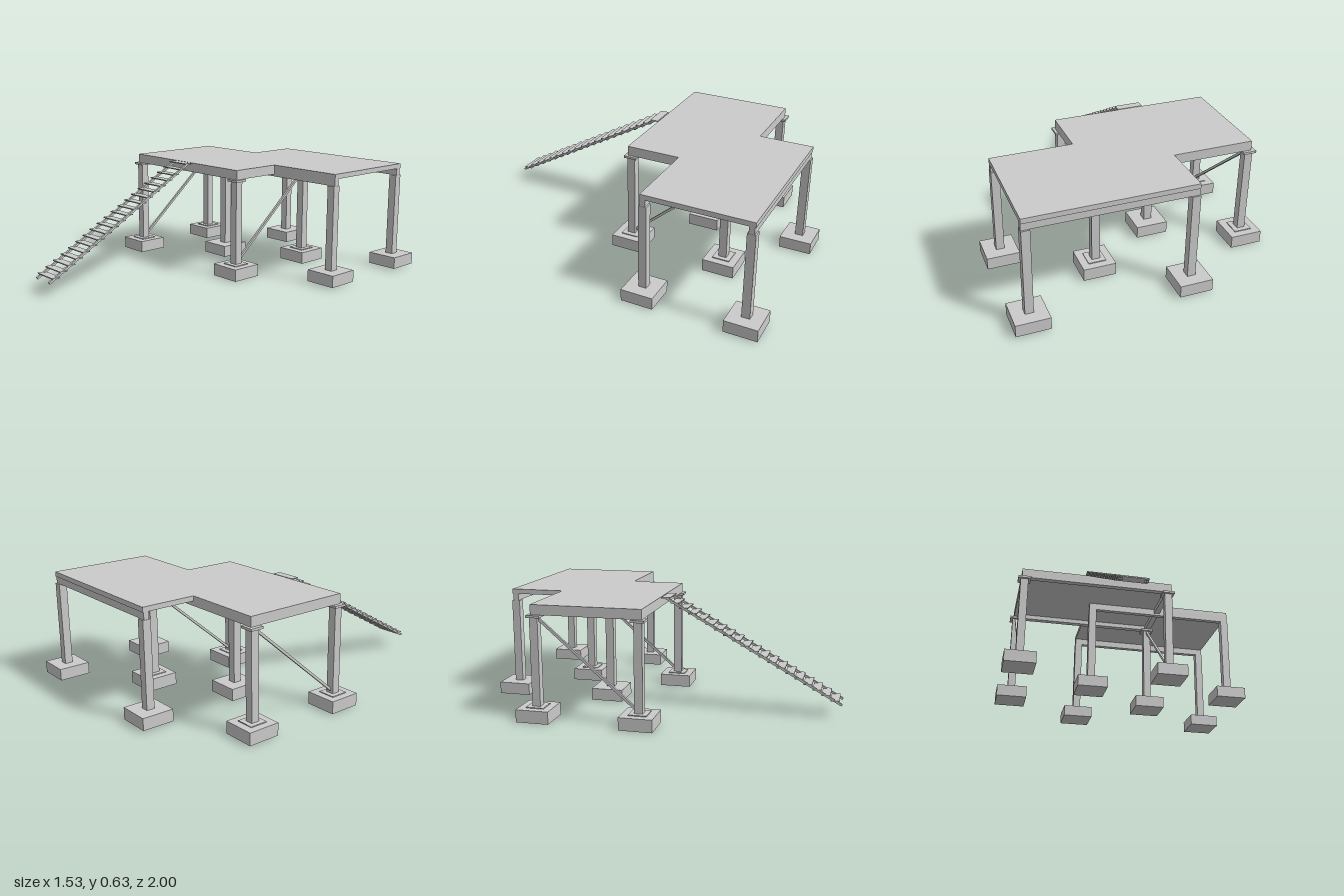
import * as THREE from 'three';

const material = new THREE.MeshStandardMaterial({ color: 0xcccccc, flatShading: true });

export function createModel() {
  const model = new THREE.Group();
  model.name = 'raisedPlatform';

  const add = (name, geometry) => {
    const mesh = new THREE.Mesh(geometry, material);
    mesh.name = name;
    model.add(mesh);
    return mesh;
  };
  // Box given by its extents on each axis
  const box = (name, x0, x1, y0, y1, z0, z1) => {
    const mesh = add(name, new THREE.BoxGeometry(x1 - x0, y1 - y0, z1 - z0));
    mesh.position.set((x0 + x1) / 2, (y0 + y1) / 2, (z0 + z1) / 2);
    return mesh;
  };
  // Square block centred on a post
  const block = (name, x, z, size, y0, y1) =>
    box(name, x - size / 2, x + size / 2, y0, y1, z - size / 2, z + size / 2);
  // Square bar sloping in the y-z plane
  const slopedBar = (name, x, y0, z0, y1, z1, w, t) => {
    const bar = add(name, new THREE.BoxGeometry(w, t, Math.hypot(y1 - y0, z1 - z0)));
    bar.position.set(x, (y0 + y1) / 2, (z0 + z1) / 2);
    bar.rotation.x = -Math.atan2(y1 - y0, z1 - z0);
    return bar;
  };

  // Deck: two overlapping rectangles joined into one slab (shape y = -z)
  const outline = [
    [-0.69, 0.01], [0.23, 0.01], [0.23, 0.32], [0.69, 0.32],
    [0.69, 0.93], [-0.23, 0.93], [-0.23, 0.62], [-0.69, 0.62],
  ].map(([x, y]) => new THREE.Vector2(x, y));
  const deck = add('deck', new THREE.ExtrudeGeometry(new THREE.Shape(outline), { depth: 0.028, bevelEnabled: false }));
  deck.rotation.x = -Math.PI / 2;
  deck.position.y = 0.6;

  // Front section: stepped footings, capped posts and diagonal braces
  for (const x of [-0.675, 0.208]) {
    for (const z of [-0.03, -0.6]) {
      block('frontFooting', x, z, 0.183, 0, 0.07);
      block('frontPlinth', x, z, 0.1, 0.07, 0.075);
      block('frontPost', x, z, 0.046, 0.075, 0.56);
      block('frontPostCap', x, z, 0.075, 0.56, 0.573);
    }
    slopedBar('diagonalBrace', x, 0.085, -0.04, 0.56, -0.59, 0.014, 0.014);
  }
  // Front section: perimeter frame under the deck
  for (const z of [-0.01, -0.585]) box('frontCrossBeam', -0.69, 0.23, 0.573, 0.6, z - 0.035, z);
  for (const x of [-0.69, 0.195]) box('frontSideBeam', x, x + 0.035, 0.573, 0.6, -0.585, -0.045);

  // Rear section: plain posts carrying two long beams
  for (const z of [-0.335, -0.91]) {
    for (const x of [-0.21, 0.668]) {
      block('rearFooting', x, z, 0.183, 0.007, 0.075);
      block('rearPost', x, z, 0.046, 0.075, 0.56);
    }
    box('rearBeam', -0.23, 0.69, 0.56, 0.6, z - 0.015, z + 0.015);
  }

  // Stair: two sloping rails with thin level treads
  for (const x of [-0.296, -0.17]) slopedBar('stairRail', x, 0.622, 0.02, 0.075, 0.996, 0.014, 0.012);
  for (let i = 0; i < 20; i++) {
    const y = 0.625 - 0.0277 * i, z = 0.02 + 0.0494 * i;
    box('stairTread', -0.309, -0.157, y - 0.003, y + 0.003, z - 0.024, z + 0.024);
  }
  return model;
}
